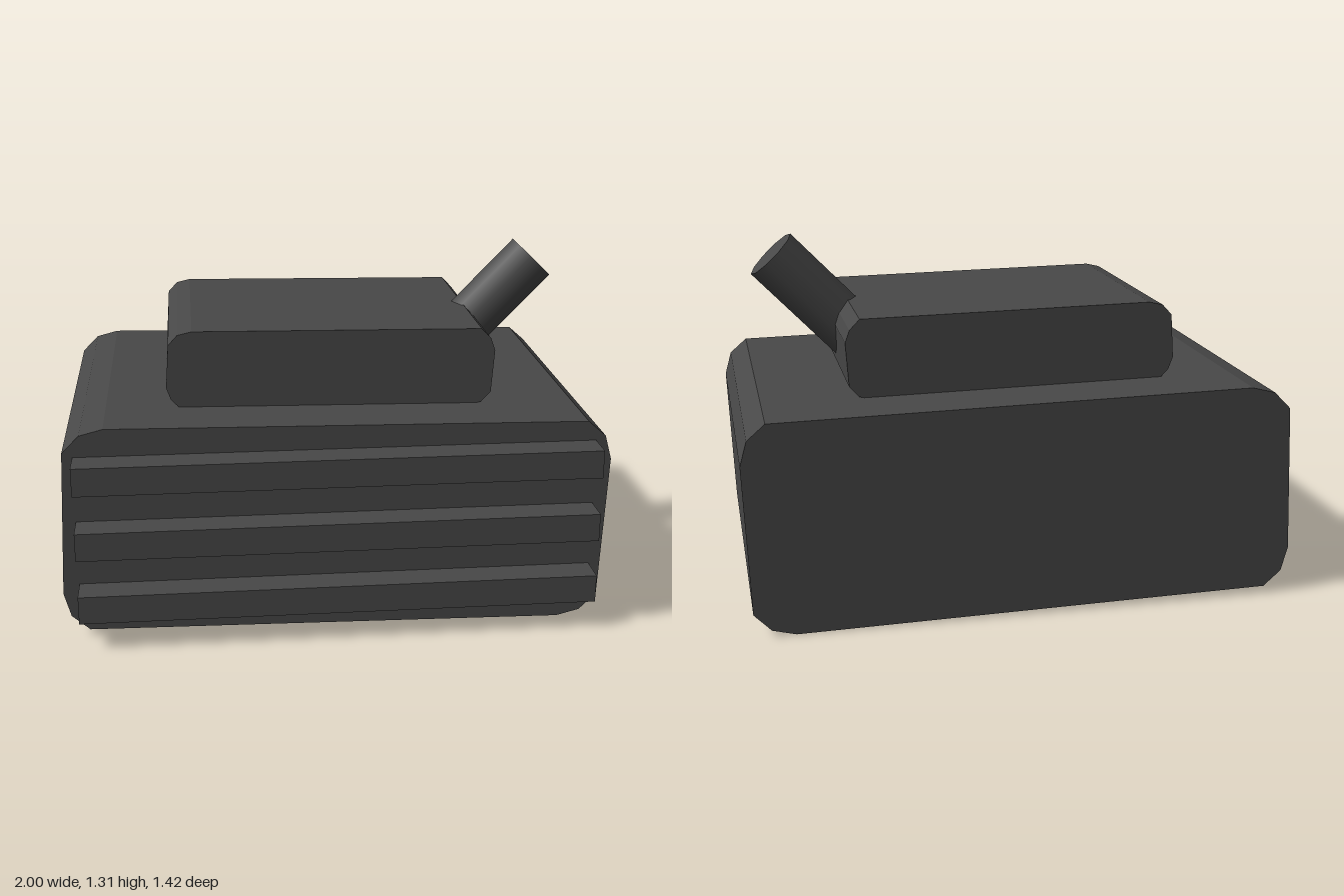
import * as THREE from 'three';

const material = new THREE.MeshStandardMaterial({ color: 0x484848 });

// Half an outline, completed by a half turn about (0, cy), then extruded from z0 to z1
function slab(name, half, cy, z0, z1) {
  const points = [
    ...half.map(([x, y]) => new THREE.Vector2(x, cy + y)),
    ...half.map(([x, y]) => new THREE.Vector2(-x, cy - y)),
  ];
  const geometry = new THREE.ExtrudeGeometry(new THREE.Shape(points), {
    depth: z1 - z0,
    bevelEnabled: false,
  });
  const mesh = new THREE.Mesh(geometry, material);
  mesh.name = name;
  mesh.position.z = z0;
  return mesh;
}

export function createModel() {
  const group = new THREE.Group();
  group.name = 'engineBlock';

  // Main block, slightly skewed with chamfered long edges
  group.add(slab('mainBlock', [
    [-1, -0.225], [-0.977, 0.315], [-0.915, 0.378], [-0.83, 0.4],
    [0.91, 0.372], [0.975, 0.315],
  ], 0.4, -0.71, 0.595));

  // Smaller cover sunk into the top of the block
  group.add(slab('topCover', [
    [-0.608, -0.055], [-0.597, 0.105], [-0.562, 0.143], [-0.51, 0.155],
    [0.555, 0.139], [0.592, 0.1],
  ], 0.925, -0.47, 0.36));

  // Horizontal front bars
  for (const y of [0.16, 0.403, 0.647]) {
    const bar = new THREE.Mesh(new THREE.BoxGeometry(1.88, 0.104, 0.135), material);
    bar.name = 'frontBar';
    bar.position.set(0, y, 0.6425);
    group.add(bar);
  }

  // Slanted ten-sided exhaust pipe
  const tip = new THREE.Vector3(0.83, 1.237, -0.055);
  const axis = new THREE.Vector3(0.695, 0.719, 0).normalize();
  const length = 0.55;
  const pipe = new THREE.Mesh(
    new THREE.CylinderGeometry(0.105, 0.105, length, 10, 1, false, Math.PI / 2), material);
  pipe.name = 'exhaustPipe';
  pipe.quaternion.setFromUnitVectors(new THREE.Vector3(0, 1, 0), axis);
  pipe.position.copy(tip).addScaledVector(axis, -length / 2);
  group.add(pipe);

  return group;
}
